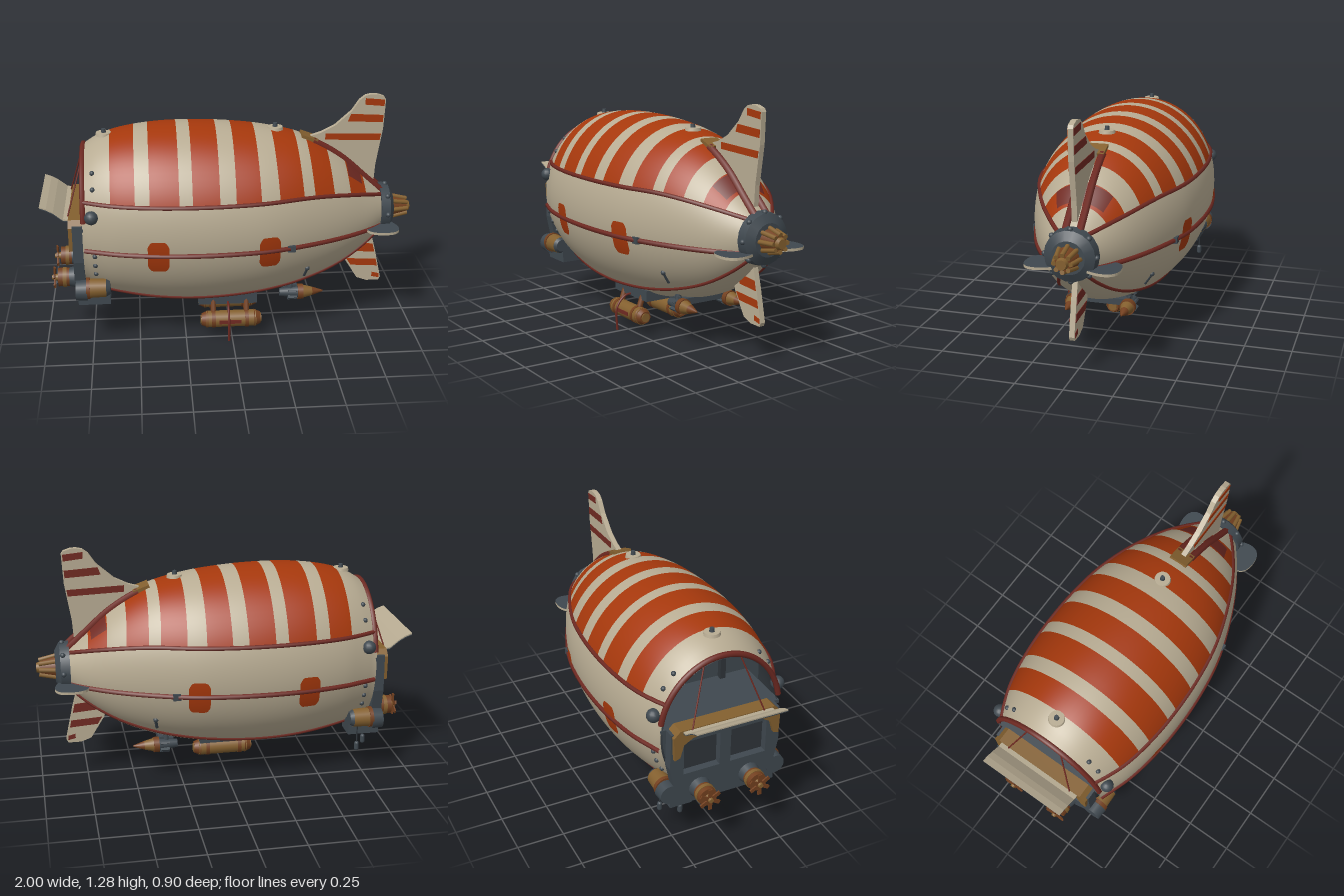
import * as THREE from 'three';

const V = (x, y, z) => new THREE.Vector3(x, y, z);
const mat = (name, color, side = THREE.FrontSide) => {
  const m = new THREE.MeshStandardMaterial({ color, side });
  m.name = name;
  return m;
};

// Hull stations along x: top height, bottom height, half width
const STATIONS = [-0.78, -0.7, -0.6, -0.4, -0.2, 0, 0.2, 0.4, 0.6, 0.75, 0.86];
const SIZES = [
  1.035, 0.27, 0.33, 1.085, 0.24, 0.36, 1.12, 0.215, 0.395, 1.15, 0.18, 0.432, 1.155, 0.167, 0.445,
  1.145, 0.175, 0.439, 1.12, 0.2, 0.412, 1.07, 0.248, 0.352, 0.96, 0.335, 0.265, 0.83, 0.445, 0.175, 0.735, 0.555, 0.09];
const spline = new THREE.CubicInterpolant(STATIONS, SIZES, 3, new Float32Array(3));
const section = x => {
  const [t, b, w] = spline.evaluate(x);
  return { cy: (t + b) / 2, h: (t - b) / 2, w };
};
const hullPoint = (x, a, s = 1) => {
  const { cy, h, w } = section(x);
  return V(x, cy + s * h * Math.sin(a), s * w * Math.cos(a));
};
// Angle on the +z side at which the hull reaches height y
const angleAt = (x, y) => {
  const { cy, h } = section(x);
  return Math.asin(THREE.MathUtils.clamp((y - cy) / h, -1, 1));
};
const upperLine = x => angleAt(x, 0.835 - 0.34 * Math.max(0, x - 0.3) ** 2);
const middleLine = x => angleAt(x, 0.578);
const lowerLine = () => -0.97;

// Smooth piece of hull skin between two stations and two angle rules
function skin(x0, x1, lo, hi, { scale = 1, skew = 0, nu = 10, nv = 32 } = {}) {
  const pos = [], nor = [], idx = [], e = 0.002;
  for (let i = 0; i <= nu; i++) for (let j = 0; j <= nv; j++) {
    const v = j / nv, xb = x0 + (x1 - x0) * i / nu;
    const x = xb + skew * Math.max(0, xb) * (0.84 - xb) * (2 * v - 1) ** 2;
    const a = lo(x) + (hi(x) - lo(x)) * v;
    const n = hullPoint(x + e, a).sub(hullPoint(x - e, a))
      .cross(hullPoint(x, a + e).sub(hullPoint(x, a - e))).normalize();
    pos.push(...hullPoint(x, a, scale).toArray());
    nor.push(...n.toArray());
    if (i < nu && j < nv) {
      const p = i * (nv + 1) + j, q = p + nv + 1;
      idx.push(p, q, q + 1, p, q + 1, p + 1);
    }
  }
  const g = new THREE.BufferGeometry();
  g.setAttribute('position', new THREE.Float32BufferAttribute(pos, 3));
  g.setAttribute('normal', new THREE.Float32BufferAttribute(nor, 3));
  g.setIndex(idx);
  return g;
}

export function createModel() {
  const root = new THREE.Group();
  root.name = 'airship';
  const cream = mat('cream canvas', 0xb8ac93), orange = mat('orange paint', 0xa6380c);
  const red = mat('dark red trim', 0x702a22), slate = mat('slate metal', 0x3f484f);
  const dark = mat('dark interior', 0x2f353a, THREE.DoubleSide), tan = mat('tan brass', 0x84602f);
  const copper = mat('copper', 0x73401f);

  const add = (name, geo, m, x = 0, y = 0, z = 0) => {
    const mesh = new THREE.Mesh(geo, m);
    mesh.name = name;
    mesh.position.set(x, y, z);
    root.add(mesh);
    return mesh;
  };
  const box = (name, m, w, h, d, x, y, z) => add(name, new THREE.BoxGeometry(w, h, d), m, x, y, z);
  const ball = (name, m, r, x, y, z) => add(name, new THREE.SphereGeometry(r, 14, 10), m, x, y, z);
  // Cylinder along x, r0 at the -x end and r1 at the +x end
  const drum = (name, m, r0, r1, x0, x1, y, z) =>
    add(name, new THREE.CylinderGeometry(r1, r0, x1 - x0, 18).rotateZ(-Math.PI / 2), m, (x0 + x1) / 2, y, z);
  const rod = (name, m, r, a, b) => {
    const d = b.clone().sub(a), mesh = add(name, new THREE.CylinderGeometry(r, r, d.length(), 8), m);
    mesh.position.copy(a).addScaledVector(d, 0.5);
    mesh.quaternion.setFromUnitVectors(V(0, 1, 0), d.normalize());
  };
  const tube = (name, m, r, pts) =>
    add(name, new THREE.TubeGeometry(new THREE.CatmullRomCurve3(pts), 60, r, 6), m);
  const alongHull = (x0, x1, angle) => Array.from({ length: 25 }, (_, i) => {
    const x = x0 + (x1 - x0) * i / 24;
    return hullPoint(x, angle(x), 1.002);
  });

  // Hull skin: plain below, striped above
  add('hullLower', skin(-0.78, 0.86, x => Math.PI - upperLine(x), x => 2 * Math.PI + upperLine(x), { nu: 50, nv: 64 }), cream);
  const bounds = [-0.78, -0.63, -0.505, -0.43, -0.28, -0.212, -0.073, 0.01, 0.132, 0.225, 0.352, 0.412, 0.523, 0.622, 0.722, 0.84];
  for (let i = 0; i + 1 < bounds.length; i++)
    add('canopyStripe', skin(bounds[i], bounds[i + 1], upperLine, x => Math.PI - upperLine(x), { skew: 0.11 }), i % 2 ? orange : cream);
  add('finFootPatch', skin(0.63, 0.71, () => 0.95, () => Math.PI - 0.95, { scale: 1.006 }), red);

  // Trim rails on both sides
  for (const [line, r] of [[upperLine, 0.012], [middleLine, 0.014], [lowerLine, 0.01]])
    for (const s of [1, -1])
      tube('trimRail', red, r, alongHull(-0.77, 0.83, x => s > 0 ? line(x) : Math.PI - line(x)));
  tube('bowRim', red, 0.015, Array.from({ length: 25 }, (_, i) => hullPoint(-0.773, 0.2 + i * (Math.PI - 0.4) / 24)));

  // Rounded painted side patches
  for (const x of [-0.392, 0.185]) {
    const half = u => 0.086 - 0.03 * Math.max(0, (Math.abs(u - x) - 0.03) / 0.025) ** 2;
    const lo = u => angleAt(u, 0.573 - half(u)), hi = u => angleAt(u, 0.573 + half(u));
    const o = { scale: 1.012, nu: 16, nv: 8 };
    add('sidePatch', skin(x - 0.055, x + 0.055, lo, hi, o), orange);
    add('sidePatch', skin(x - 0.055, x + 0.055, u => Math.PI - hi(u), u => Math.PI - lo(u), o), orange);
  }

  // Open cabin inside the bow
  add('cabinLining', skin(-0.778, -0.42, () => 0, () => 2 * Math.PI, { scale: 0.965, nv: 48 }), dark);
  const bulk = add('cabinBulkhead', new THREE.CircleGeometry(1, 40).rotateY(-Math.PI / 2), slate, -0.45, 0.66, 0);
  bulk.scale.set(1, 0.46, 0.405);
  box('cabinDeck', slate, 0.33, 0.02, 0.66, -0.615, 0.69, 0);
  for (const z of [-0.17, 0.17]) box('cabinPost', dark, 0.03, 0.5, 0.03, -0.47, 0.8, z);

  // Bow front wall with window openings
  const shapeOf = p => new THREE.Shape(p.map(([a, b]) => new THREE.Vector2(a, b)));
  const wallX = (name, shape, depth, m, x) =>
    add(name, new THREE.ExtrudeGeometry(shape, { depth, bevelEnabled: false }).rotateY(-Math.PI / 2), m, x);
  const wall = shapeOf([[-0.19, 0.285], [0.19, 0.285], [0.28, 0.38], [0.305, 0.5], [0.3, 0.7], [-0.3, 0.7], [-0.305, 0.5], [-0.28, 0.38]]);
  for (const [a, b] of [[-0.23, -0.03], [0.03, 0.23]])
    wall.holes.push(shapeOf([[a, 0.45], [a, 0.64], [b, 0.64], [b, 0.45]]));
  wallX('bowWall', wall, 0.055, slate, -0.78);
  box('bowWindows', dark, 0.01, 0.22, 0.5, -0.79, 0.545, 0);
  wallX('bowArch', shapeOf([[-0.29, 0.56], [-0.26, 0.57], [-0.24, 0.64], [-0.19, 0.67], [0.19, 0.67], [0.24, 0.64], [0.26, 0.57],
    [0.29, 0.56], [0.295, 0.69], [0.26, 0.725], [-0.26, 0.725], [-0.295, 0.69]]), 0.08, tan, -0.775);
  box('bowSill', slate, 0.1, 0.05, 0.36, -0.775, 0.285, 0);

  // Curved visor with a metal underside
  const visorPart = (name, m, t0, t1) => {
    const line = [[-0.85, 0.708], [-0.88, 0.712], [-0.93, 0.752], [-0.965, 0.772], [-1, 0.785]];
    const shape = shapeOf([...line.map(([x, y]) => [x, y + t0]), ...line.map(([x, y]) => [x, y + t1]).reverse()]);
    add(name, new THREE.ExtrudeGeometry(shape, { depth: 0.49, bevelEnabled: false }), m, 0, 0, -0.245);
  };
  visorPart('visorTop', cream, 0.005, 0.012);
  visorPart('visorUnderside', slate, 0, 0.005);

  // Bow engines, side pods, lamps and stays
  for (const s of [1, -1]) {
    const z = 0.14 * s;
    drum('bowEngineMount', slate, 0.05, 0.06, -0.87, -0.83, 0.345, z);
    drum('bowEngine', copper, 0.05, 0.05, -0.93, -0.86, 0.345, z);
    drum('bowEngineRing', tan, 0.054, 0.054, -0.905, -0.885, 0.345, z);
    drum('bowEngineHub', tan, 0.012, 0.02, -0.965, -0.93, 0.345, z);
    for (let k = 0; k < 3; k++)
      box('bowPropeller', copper, 0.008, 0.12, 0.02, -0.95, 0.345, z).rotation.x = k * Math.PI / 3;
    drum('sidePodNose', slate, 0.052, 0.056, -0.83, -0.77, 0.34, 0.3 * s);
    drum('sidePod', tan, 0.052, 0.048, -0.77, -0.67, 0.35, 0.3 * s);
    drum('sidePodBand', copper, 0.056, 0.056, -0.775, -0.755, 0.35, 0.3 * s);
    drum('sidePodCap', slate, 0.047, 0.035, -0.67, -0.65, 0.35, 0.3 * s);
    box('sidePodMount', slate, 0.17, 0.09, 0.12, -0.735, 0.295, 0.235 * s);
    ball('bowLamp', slate, 0.036, -0.73, 0.768, 0.345 * s);
    rod('visorStay', red, 0.004, V(-0.86, 0.715, 0.2 * s), V(-0.775, 1.01, 0.1 * s));
    for (const y of [0.97, 0.9, 0.55, 0.49, 0.43]) {
      const a = angleAt(-0.72, y), p = hullPoint(-0.72, s > 0 ? a : Math.PI - a);
      ball('bowRivet', slate, 0.013, p.x, p.y, p.z);
    }
    const c = hullPoint(0.39, s > 0 ? -0.82 : Math.PI + 0.82);
    rod('cleat', slate, 0.009, c, c.clone().add(V(0.01, 0.06, 0.04 * s)));
    ball('cleatKnob', slate, 0.014, c.x + 0.01, c.y + 0.06, c.z + 0.04 * s);
    const m = hullPoint(0.3, s > 0 ? middleLine(0.3) : Math.PI - middleLine(0.3));
    box('railClamp', slate, 0.04, 0.035, 0.03, m.x, m.y, m.z);
  }

  // Ballast weights on cords
  for (const [x, z] of [[-0.76, -0.21], [-0.7, -0.295]]) {
    rod('weightCord', dark, 0.004, V(x, 0.33, z), V(x, 0.2, z));
    add('weight', new THREE.CapsuleGeometry(0.013, 0.028, 4, 10), slate, x, 0.18, z);
  }

  // Top valves and belly hatch
  for (const x of [-0.66, 0.25]) {
    const y = hullPoint(x, Math.PI / 2).y;
    add('valveDisc', new THREE.CylinderGeometry(0.04, 0.044, 0.016, 20), cream, x, y + 0.004, 0);
    add('valveKnob', new THREE.CylinderGeometry(0.011, 0.015, 0.03, 12), slate, x, y + 0.017, 0);
  }
  add('bellyHatch', new THREE.CylinderGeometry(0.06, 0.055, 0.02, 24), slate, -0.37, 0.174, 0);

  // Striped fins: leading and trailing edges given as [y, x], stripes as [y0, y1, front limit]
  const edge = (pts, y) => {
    const k = Math.max(1, pts.findIndex(p => p[0] >= y)), [a, b] = [pts[k - 1], pts[k]];
    return THREE.MathUtils.mapLinear(y, a[0], b[0], a[1], b[1]);
  };
  const flat = (name, pts, depth, m, z) =>
    add(name, new THREE.ExtrudeGeometry(shapeOf(pts), { depth, bevelEnabled: false }), m, 0, 0, z);
  const fin = (name, lead, trail, stripes) => {
    const swap = ([y, x]) => [x, y];
    flat(name, [...trail.map(swap), ...lead.map(swap).reverse()], 0.028, cream, -0.014);
    for (const [y0, y1, limit] of stripes) {
      const front = y => [Math.max(limit, edge(lead, y) + 0.012), y];
      const outline = [[edge(trail, y0) - 0.006, y0], [edge(trail, y1) - 0.006, y1], front(y1 + 0.01), front(y0 + 0.01)];
      flat(name + 'StripeLeft', outline, 0.003, orange, 0.014);
      flat(name + 'StripeRight', outline, 0.003, red, -0.017);
    }
  };
  fin('topFin', [[0.75, 0.42], [1.06, 0.42], [1.085, 0.5], [1.12, 0.57], [1.2, 0.66], [1.26, 0.7], [1.283, 0.73], [1.29, 0.76]],
    [[0.75, 0.79], [0.9, 0.8], [1.1, 0.832], [1.26, 0.84], [1.277, 0.83], [1.29, 0.79]],
    [[1.225, 1.26, 0.73], [1.135, 1.175, 0.64], [1.035, 1.07, 0.52]]);
  fin('bottomFin', [[0.2, 0.78], [0.22, 0.725], [0.34, 0.65], [0.55, 0.6]],
    [[0.2, 0.85], [0.22, 0.86], [0.4, 0.82], [0.55, 0.78]], [[0.215, 0.24, 0.81], [0.29, 0.33, 0], [0.375, 0.425, 0.69]]);
  for (const s of [1, -1])
    tube('finRail', red, 0.02, alongHull(0.45, 0.83, x => Math.acos(0.036 * s / section(x).w)));
  const cap = box('finRootCap', tan, 0.09, 0.03, 0.1, 0.43, 1.055, 0);
  cap.rotation.z = -0.35;

  // Horizontal tail paddles with pale edges
  const paddle = new THREE.Shape();
  paddle.moveTo(0.78, 0.05);
  paddle.bezierCurveTo(0.72, 0.13, 0.7, 0.24, 0.82, 0.243);
  paddle.bezierCurveTo(0.94, 0.25, 0.93, 0.14, 0.86, 0.05);
  for (const s of [1, -1]) {
    const g = new THREE.ExtrudeGeometry(paddle, { depth: 0.014, bevelEnabled: false }).rotateX(s * Math.PI / 2);
    add('tailPaddle', g, [slate, cream], 0, 0.58 + 0.007 * s, 0);
  }

  // Tail collar and fluted nozzle
  drum('tailCollar', slate, 0.137, 0.13, 0.825, 0.875, 0.645, 0);
  drum('tailTaper', slate, 0.13, 0.085, 0.875, 0.9, 0.645, 0);
  drum('tailNozzle', copper, 0.062, 0.04, 0.89, 0.98, 0.645, 0);
  drum('tailTip', tan, 0.035, 0.025, 0.97, 1, 0.645, 0);
  for (let k = 0; k < 8; k++) {
    const a = k * Math.PI / 4, c = Math.cos(a), s = Math.sin(a);
    rod('nozzleFlute', tan, 0.012, V(0.88, 0.645 + 0.066 * s, 0.066 * c), V(0.985, 0.645 + 0.042 * s, 0.042 * c));
    ball('collarStud', slate, 0.014, 0.86, 0.645 + 0.132 * s, 0.132 * c);
  }

  // Belly frame and slung tanks
  box('bellyFrame', slate, 0.32, 0.06, 0.35, -0.02, 0.217, 0.045);
  for (const z of [0, 0.237]) {
    drum('tank', tan, 0.045, 0.045, -0.14, 0.13, 0.107, z);
    drum('tankCap', copper, 0.032, 0.047, -0.165, -0.13, 0.107, z);
    drum('tankCap', copper, 0.047, 0.032, 0.12, 0.155, 0.107, z);
    drum('tankPlug', tan, 0.024, 0.024, -0.17, 0.16, 0.107, z);
    for (const x of [-0.1, 0.08]) {
      rod('tankStrut', copper, 0.016, V(x, 0.22, z * 0.85), V(x, 0.12, z));
      drum('tankStrap', copper, 0.048, 0.048, x - 0.01, x + 0.01, 0.107, z);
    }
  }
  box('tankMark', red, 0.12, 0.02, 0.008, -0.01, 0.107, 0.281);
  tube('rope', red, 0.006, [V(-0.02, 0.2, 0.21), V(-0.02, 0.19, 0.26), V(-0.02, 0.13, 0.308), V(-0.02, 0.006, 0.307)]);

  // Belly thrusters on a cross beam
  box('thrusterBeam', slate, 0.08, 0.035, 0.3, 0.33, 0.228, 0);
  for (const s of [1, -1]) {
    const z = 0.15 * s;
    drum('thrusterBody', slate, 0.022, 0.034, 0.27, 0.38, 0.212, z);
    drum('thrusterRing', copper, 0.042, 0.042, 0.37, 0.4, 0.212, z);
    drum('thrusterCone', tan, 0.036, 0.024, 0.4, 0.45, 0.212, z);
    drum('thrusterTip', copper, 0.024, 0.004, 0.45, 0.51, 0.212, z);
    rod('thrusterStrut', slate, 0.016, V(0.33, 0.21, z), V(0.33, 0.31, z * 0.9));
    for (let k = 0; k < 3; k++)
      box('thrusterVane', slate, 0.05, 0.09, 0.01, 0.34, 0.212, z).rotation.x = k * Math.PI / 3;
  }
  return root;
}
